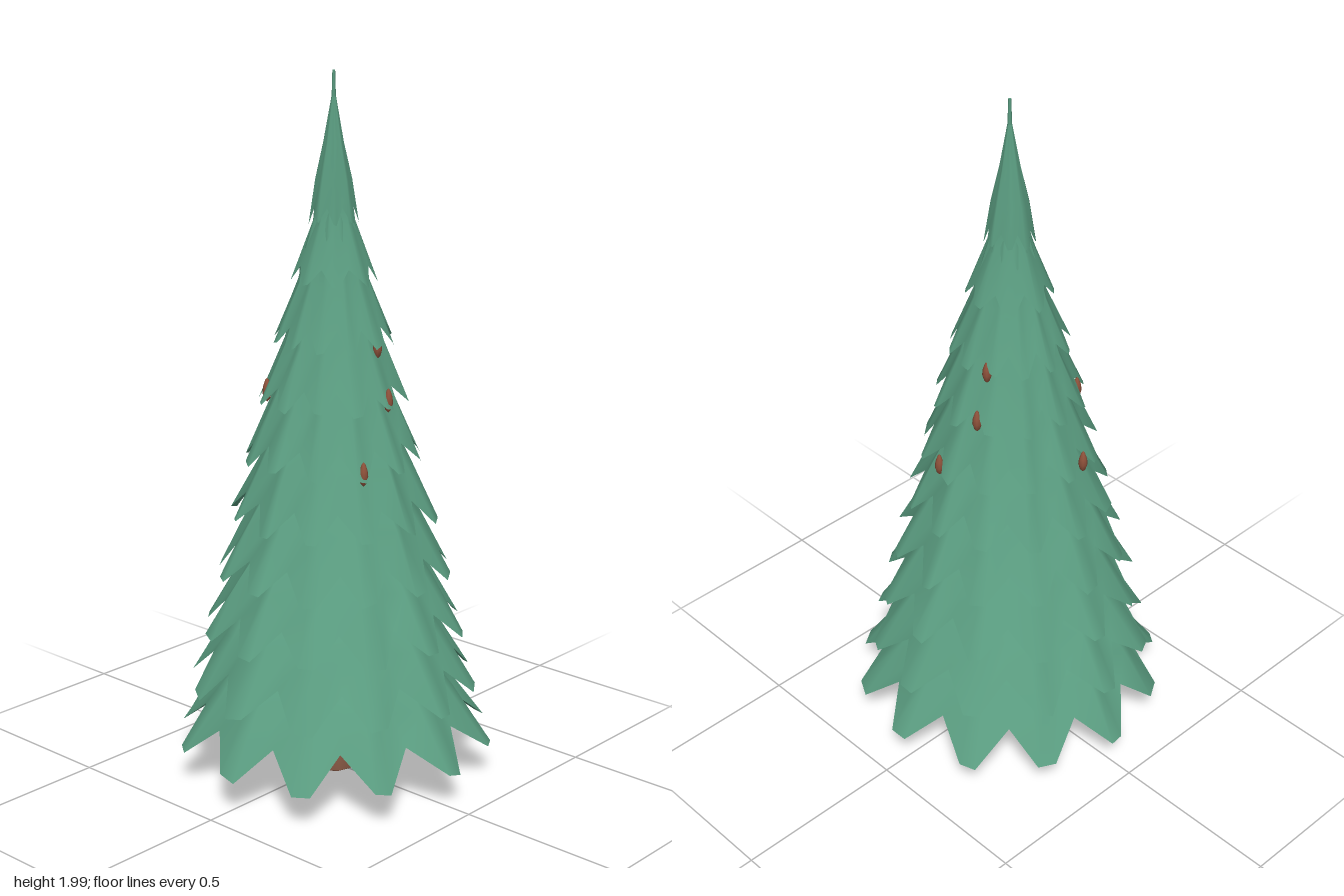
import * as THREE from 'three';

const green = new THREE.MeshStandardMaterial({ color: 0x5a9c80, side: THREE.DoubleSide });
green.name = 'needle green';
const bark = new THREE.MeshStandardMaterial({ color: 0x875844 });
bark.name = 'bark brown';
const coneBrown = new THREE.MeshStandardMaterial({ color: 0x8f523b });
coneBrown.name = 'cone brown';

function seeded(seed) {
  return () => {
    seed = (seed * 16807) % 2147483647;
    return seed / 2147483647 - 0.5;
  };
}

// One skirt of branches: a star-shaped rim with blunt tips, then rounder rings.
// rings: [height, radius] pairs going inward from the rim.
function skirt(points, y, radius, drop, rings, seed) {
  const rand = seeded(seed);
  const cols = points * 3;
  const pos = [];
  const index = [];
  const angles = [];
  for (let j = 0; j < cols; j++) {
    const kind = j % 3; // 0 valley, 1 and 2 the two corners of a tip
    const step = (Math.PI * 2) / points;
    const offset = [-0.5, -0.11, 0.11][kind];
    const a = (Math.floor(j / 3) + offset + rand() * 0.07) * step;
    const r = radius * (kind ? 1 : 0.83) * (1 + rand() * 0.03);
    angles.push(a);
    pos.push(Math.sin(a) * r, y + (kind ? rand() * 0.02 : drop), Math.cos(a) * r);
  }
  rings.forEach(([h, ringRadius]) => {
    for (let j = 0; j < cols; j++) {
      const r = ringRadius * (j % 3 ? 1.02 : 0.92) * (1 + rand() * 0.06);
      pos.push(Math.sin(angles[j]) * r, h, Math.cos(angles[j]) * r);
    }
  });
  for (let i = 0; i < rings.length; i++) {
    for (let j = 0; j < cols; j++) {
      const k = (j + 1) % cols;
      const a = i * cols + j, b = i * cols + k;
      index.push(a, b, b + cols, a, b + cols, a + cols);
    }
  }
  const g = new THREE.BufferGeometry();
  g.setAttribute('position', new THREE.Float32BufferAttribute(pos, 3));
  g.setIndex(index);
  g.computeVertexNormals();
  return g;
}

export function createModel() {
  const tree = new THREE.Group();
  tree.name = 'firTree';
  const add = (name, geometry, material) => {
    const mesh = new THREE.Mesh(geometry, material);
    mesh.name = name;
    tree.add(mesh);
    return mesh;
  };

  // Trunk, flared at the foot
  const trunkProfile = [[0, 0], [0.06, 0], [0.073, 0.008], [0.062, 0.07], [0.053, 0.15], [0.046, 0.35], [0, 0.6]];
  add('trunk', new THREE.LatheGeometry(trunkProfile.map(([r, y]) => new THREE.Vector2(r, y)), 10), bark);

  // Overlapping branch skirts, narrowing upward
  const radii = [0.447, 0.41, 0.37, 0.33, 0.29, 0.25, 0.21, 0.167, 0.118, 0.068];
  radii.forEach((radius, i) => {
    const y = 0.1 + i * 0.1655;
    const next = radii[i + 1];
    const drop = 0.09 - i * 0.0055;
    const rings = next
      ? [[y + 0.165, next * 0.82], [y + 0.255, next * 0.66], [y + 0.4, next * 0.3]]
      : [[1.7, 0.048], [1.8, 0.027], [1.92, 0.006]];
    add('branchSkirt' + (i + 1), skirt(i < 8 ? 12 : 8, y, radius, drop, rings, 4711 + i * 977), green);
  });

  // Underside of the lowest branches, sharing the rim of the lowest skirt
  add('branchUnderside', skirt(12, 0.1, radii[0], 0.09, [[0.29, 0.22], [0.4, 0.05]], 4711), green);

  // Thin leader shoot at the very top
  const shoot = add('topShoot', new THREE.CylinderGeometry(0.004, 0.007, 0.1, 6), green);
  shoot.position.y = 1.94;

  // Hanging pine cones
  const coneShape = [[0, -0.034], [0.008, -0.026], [0.013, -0.008], [0.011, 0.01], [0.005, 0.028], [0, 0.034]];
  const coneGeometry = new THREE.LatheGeometry(coneShape.map(([r, y]) => new THREE.Vector2(r, y)), 8);
  const spots = [
    [0.013, 1.26, 0.147], [0.137, 1.26, -0.055],
    [0.005, 1.12, 0.194], [0.175, 1.12, -0.055], [-0.13, 1.12, -0.13],
    [-0.11, 0.94, 0.207], [0.218, 0.94, 0.052], [-0.075, 0.94, -0.212],
  ];
  spots.forEach((p, i) => add('pineCone' + (i + 1), coneGeometry, coneBrown).position.set(...p));

  return tree;
}
